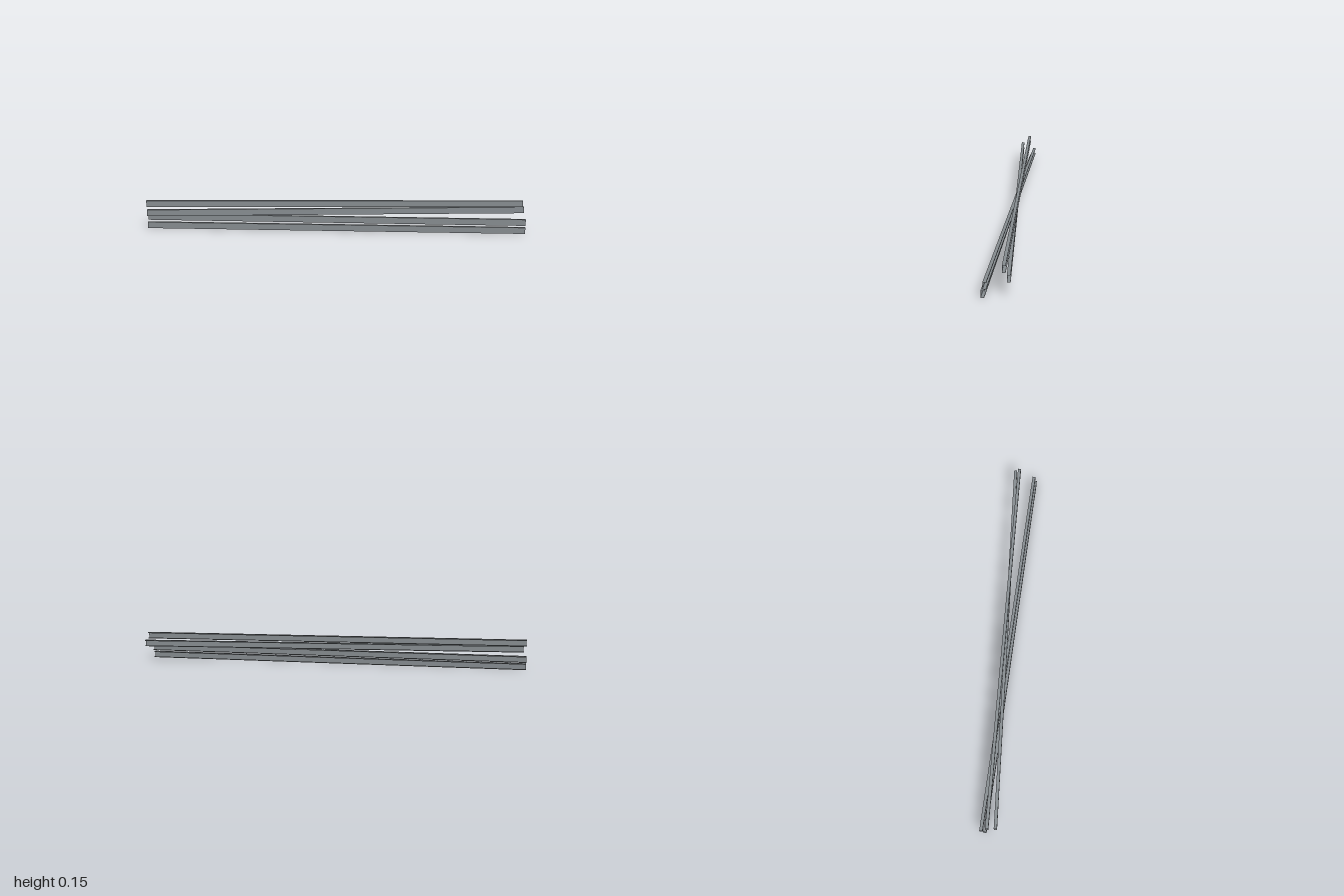
import * as THREE from 'three';
import { mergeGeometries } from 'three/addons/utils/BufferGeometryUtils.js';

const HEIGHT = 0.033, DEPTH = 0.016, LIP = 0.005;

// Thin sheet-metal lipped channel: web at the front, flanges and lips behind, open ends
function channelGeometry(length) {
  const profile = [ // [z, y]
    [-DEPTH, LIP], [-DEPTH, 0], [0, 0], [0, HEIGHT], [-DEPTH, HEIGHT], [-DEPTH, HEIGHT - LIP],
  ];
  const strips = [];
  for (let i = 0; i < profile.length - 1; i++) {
    const [z0, y0] = profile[i], [z1, y1] = profile[i + 1];
    const dz = z1 - z0, dy = y1 - y0;
    const strip = new THREE.PlaneGeometry(length, Math.hypot(dz, dy));
    strip.rotateX(Math.atan2(dz, dy)); // plane's up direction follows the profile segment
    strip.translate(0, (y0 + y1) / 2, (z0 + z1) / 2);
    strips.push(strip);
  }
  return mergeGeometries(strips);
}

export function createModel() {
  const group = new THREE.Group();
  const steel = new THREE.MeshStandardMaterial({ color: 0x868c90, side: THREE.DoubleSide });
  steel.name = 'galvanised steel';

  // Each channel: base height, end positions in x, web z at the left and right ends
  const channels = [
    ['bottomChannel', 0, -1, 0.988, -0.03, 0.066],
    ['lowerChannel', 0.041, -1, 0.99, -0.048, 0.057],
    ['upperChannel', 0.081, -0.99, 1, 0.023, -0.048],
    ['topChannel', 0.12, -1, 0.988, -0.018, -0.026],
  ];
  for (const [name, y, x0, x1, z0, z1] of channels) {
    const mesh = new THREE.Mesh(channelGeometry(Math.hypot(x1 - x0, z1 - z0)), steel);
    mesh.name = name;
    mesh.position.set((x0 + x1) / 2, y, (z0 + z1) / 2);
    mesh.rotation.y = -Math.atan2(z1 - z0, x1 - x0);
    group.add(mesh);
  }
  return group;
}
